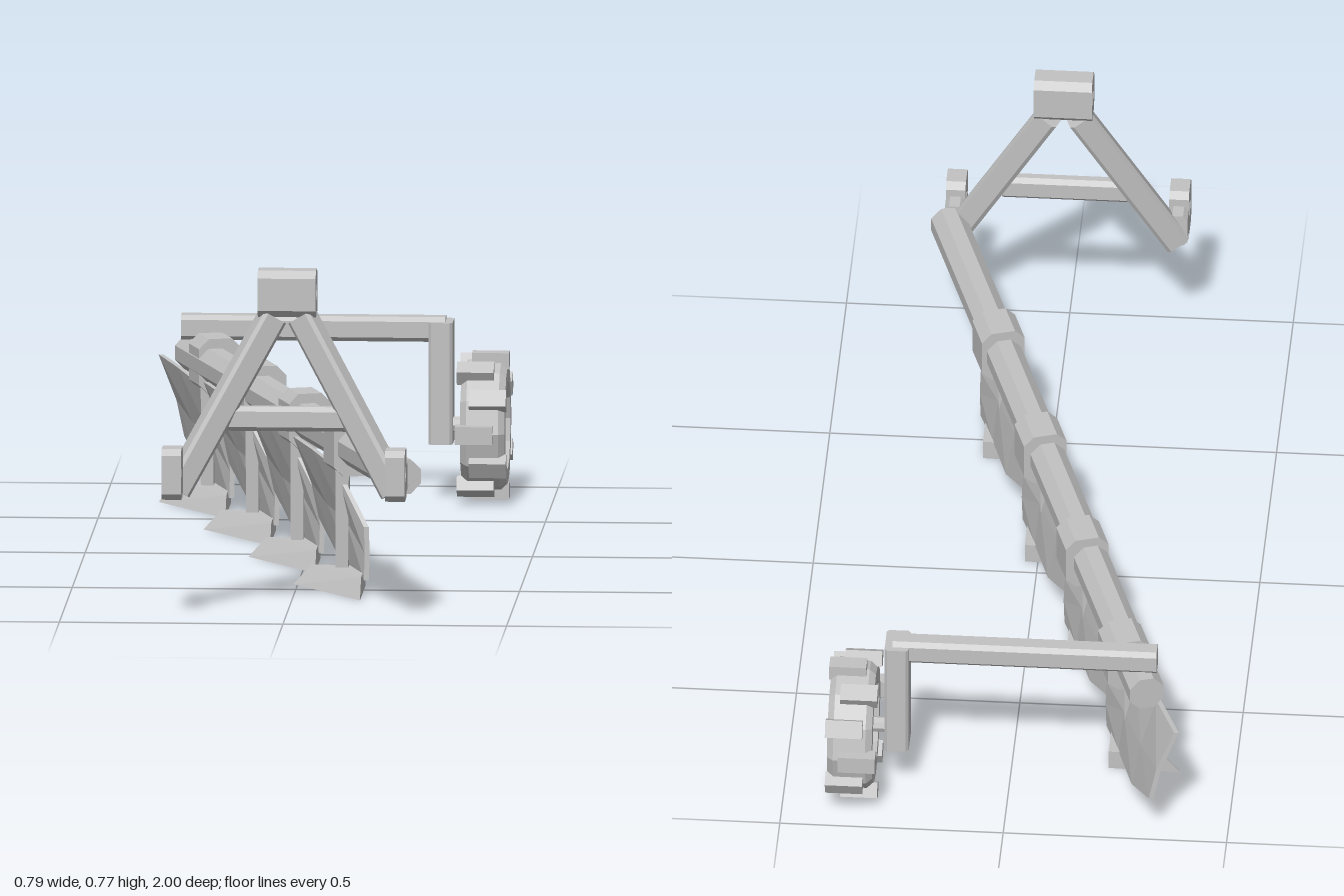
import * as THREE from 'three';

const steel = new THREE.MeshStandardMaterial({ color: 0xc2c2c2, flatShading: true, side: THREE.DoubleSide });
steel.name = 'light grey steel';
const V = (x, y, z) => new THREE.Vector3(x, y, z);

function add(parent, name, geometry) {
  const mesh = new THREE.Mesh(geometry, steel);
  mesh.name = name;
  parent.add(mesh);
  return mesh;
}

// rectangle with cut corners
function chamfered(w, h, c) {
  const x = w / 2, y = h / 2;
  return new THREE.Shape([
    [x, c - y], [x, y - c], [x - c, y], [c - x, y],
    [-x, y - c], [-x, c - y], [c - x, -y], [x - c, -y],
  ].map(p => new THREE.Vector2(...p)));
}

// chamfered bar running from a to b, optionally with a three-sided pin hole along it
function bar(parent, name, a, b, w, h, c, hole = 0) {
  const shape = chamfered(w, h, c);
  if (hole) {
    const path = new THREE.Path();
    for (let i = 0; i < 3; i++) {
      const t = Math.PI - i * Math.PI * 2 / 3;
      path[i ? 'lineTo' : 'moveTo'](hole * Math.cos(t), hole * Math.sin(t));
    }
    path.closePath();
    shape.holes.push(path);
  }
  const mesh = add(parent, name, new THREE.ExtrudeGeometry(shape, { depth: a.distanceTo(b), bevelEnabled: false }));
  mesh.position.copy(a);
  mesh.lookAt(b);
  return mesh;
}

// closed solid through matching loops of points
function loft(sections) {
  const n = sections[0].length, last = (sections.length - 1) * n, index = [];
  for (let s = 0; s < last; s += n) {
    for (let j = 0; j < n; j++) {
      const k = (j + 1) % n;
      index.push(s + j, s + k, s + n + k, s + j, s + n + k, s + n + j);
    }
  }
  // end caps, in strips between the two sides of the loop
  for (let lo = 0, hi = n - 1; hi - lo > 1;) {
    index.push(hi, lo + 1, lo, last + lo, last + lo + 1, last + hi);
    lo++;
    if (hi - lo > 1) {
      index.push(hi, hi - 1, lo, last + lo, last + hi - 1, last + hi);
      hi--;
    }
  }
  const g = new THREE.BufferGeometry();
  g.setAttribute('position', new THREE.Float32BufferAttribute(sections.flat(2), 3));
  g.setIndex(index);
  g.computeVertexNormals();
  return g;
}

// one plough body: clamp, shank, twisted mouldboard and share
function ploughBody(angle) {
  const body = new THREE.Group();
  body.name = 'ploughBody';
  const dir = V(Math.sin(angle), 0, Math.cos(angle)).multiplyScalar(0.045);
  const mid = V(0.117, 0.315, 0.43);
  bar(body, 'clamp', mid.clone().sub(dir), mid.clone().add(dir), 0.098, 0.125, 0.022);

  add(body, 'shank', loft([
    [[0.087, 0.04, 0.465], [0.115, 0.04, 0.465], [0.115, 0.04, 0.425], [0.087, 0.04, 0.425]],
    [[0.087, 0.27, 0.475], [0.117, 0.27, 0.475], [0.117, 0.27, 0.42], [0.087, 0.27, 0.42]],
  ]));

  // z, then x and y of the bottom, middle and top of the sheet
  const t = 0.011;
  const stations = [
    [0.55, 0.155, 0.03, 0.157, 0.09, 0.155, 0.15],
    [0.44, 0.12, 0.04, 0.108, 0.15, 0.08, 0.27],
    [0.30, 0.08, 0.052, 0.06, 0.16, 0.025, 0.285],
    [0.167, 0.032, 0.11, 0.015, 0.19, -0.025, 0.293],
  ];
  add(body, 'mouldboard', loft(stations.map(([z, bx, by, mx, my, tx, ty]) => [
    [bx, by, z], [mx, my, z], [tx, ty, z], [tx + t, ty, z], [mx + t, my, z], [bx + t, by, z],
  ])));

  add(body, 'share', loft([
    [[0.152, 0, 0.65], [0.152, 0, 0.43], [-0.01, 0, 0.425]],
    [[0.152, 0.045, 0.605], [0.152, 0.045, 0.43], [0.03, 0.045, 0.425]],
  ]));
  return body;
}

// gauge wheel, turning about x
function gaugeWheel() {
  const wheel = new THREE.Group();
  wheel.name = 'gaugeWheel';
  const half = [[0.03, 0.035], [0.03, 0.015], [0.085, 0.015], [0.1, 0.05], [0.135, 0.05], [0.148, 0.036]];
  const profile = [[0, -0.035], ...half.map(([r, y]) => [r, -y]), ...half.slice().reverse(), [0, 0.035]];
  const rim = add(wheel, 'rim', new THREE.LatheGeometry(profile.map(p => new THREE.Vector2(...p)), 12));
  rim.rotation.z = -Math.PI / 2;
  // treads step from side to side
  for (let i = 0; i < 12; i++) {
    const g = new THREE.BoxGeometry(0.083, 0.04, 0.035);
    g.translate(i % 2 ? 0.012 : -0.018, 0, 0.1475);
    add(wheel, 'tread', g).rotation.x = i * Math.PI / 6;
  }
  const axle = add(wheel, 'axle', new THREE.CylinderGeometry(0.018, 0.018, 0.1, 8));
  axle.rotation.z = Math.PI / 2;
  axle.position.x = -0.05;
  return wheel;
}

export function createModel() {
  const model = new THREE.Group();
  model.name = 'plough';

  // main diagonal beam
  const front = V(0.264, 0.317, 0.885), back = V(-0.313, 0.317, -0.885);
  const length = front.distanceTo(back);
  const angle = Math.atan2(front.x - back.x, front.z - back.z);
  const g = new THREE.CylinderGeometry(0.042, 0.042, length, 8);
  g.rotateY(Math.PI / 8);
  g.rotateX(Math.PI / 2);
  const beam = add(model, 'mainBeam', g);
  beam.position.copy(front).add(back).multiplyScalar(0.5);
  beam.rotation.y = angle;

  for (let i = 0; i < 4; i++) {
    const body = ploughBody(angle);
    body.position.set(-0.1228 * i, 0, -0.388 * i);
    model.add(body);
  }

  // hitch frame
  const hitch = new THREE.Group();
  hitch.name = 'hitch';
  model.add(hitch);
  bar(hitch, 'topLink', V(-0.065, 0.722, 0.825), V(0.065, 0.722, 0.825), 0.074, 0.105, 0.016, 0.022);
  for (const s of [-1, 1]) {
    bar(hitch, 'hitchLeg', V(s * 0.245, 0.285, 0.9), V(s * 0.033, 0.668, 0.825), 0.056, 0.058, 0.008);
    bar(hitch, 'lowerLink', V(s * 0.25 - 0.022, 0.334, 0.962), V(s * 0.25 + 0.022, 0.334, 0.962), 0.076, 0.115, 0.014, 0.022);
    bar(hitch, 'linkBracket', V(s * 0.25, 0.32, 0.885), V(s * 0.25, 0.32, 0.935), 0.044, 0.08, 0.01);
  }
  bar(hitch, 'crossbar', V(-0.14, 0.443, 0.862), V(0.14, 0.443, 0.862), 0.036, 0.055, 0.01);

  // wheel arm and upright
  bar(model, 'wheelArm', V(-0.333, 0.382, -0.84), V(0.258, 0.382, -0.84), 0.052, 0.056, 0.01);
  bar(model, 'wheelUpright', V(0.248, 0.125, -0.84), V(0.248, 0.4, -0.84), 0.054, 0.08, 0.006).rotation.set(-Math.PI / 2, 0, 0);
  const wheel = gaugeWheel();
  wheel.position.set(0.347, 0.166, -0.835);
  model.add(wheel);
  return model;
}
